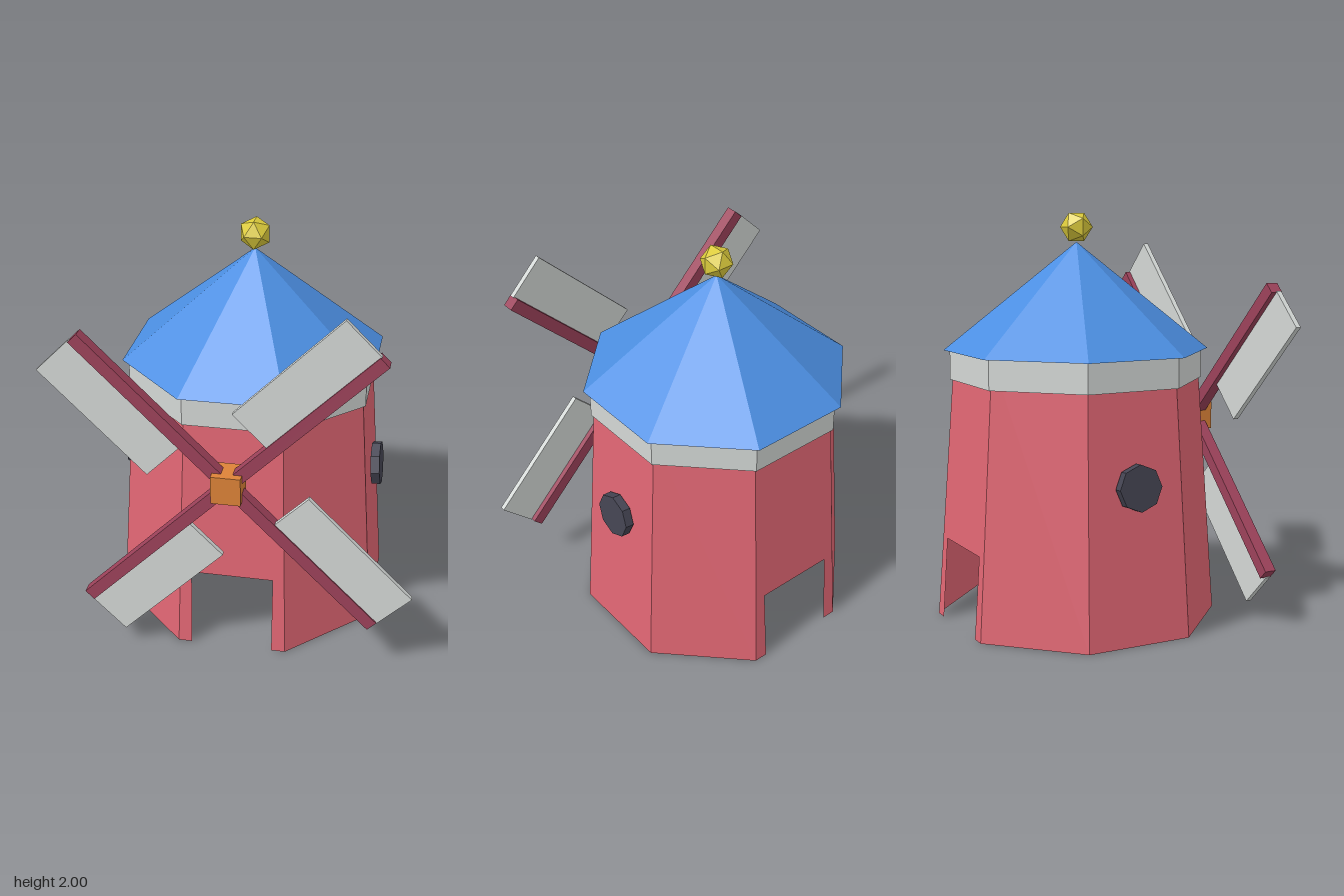
import * as THREE from 'three';

const mat = (name, color, extra = {}) => {
  const m = new THREE.MeshStandardMaterial({ color, flatShading: true, ...extra });
  m.name = name;
  return m;
};

export function createModel() {
  const both = { side: THREE.DoubleSide };
  const red = mat('wall red', 0xe06673, both);
  const grey = mat('pale grey', 0xd3d7d5, both);
  const blue = mat('roof blue', 0x4c8fe2);
  const maroon = mat('spar maroon', 0x9c425a);
  const orange = mat('hub orange', 0xdc8238);
  const yellow = mat('finial yellow', 0xdccb3c);
  const dark = mat('window dark', 0x444452);

  const model = new THREE.Group();
  model.name = 'windmill';
  const add = (parent, name, geo, material, x = 0, y = 0, z = 0) => {
    const mesh = new THREE.Mesh(geo, material);
    mesh.name = name;
    mesh.position.set(x, y, z);
    parent.add(mesh);
    return mesh;
  };

  const tower = new THREE.Group();
  tower.name = 'tower';
  tower.position.z = -0.053;
  model.add(tower);

  // Tapered octagonal walls; front and back panels have a doorway notch
  const baseR = 0.646, topR = 0.556, height = 1.335;
  const half = Math.tan(Math.PI / 8);
  const tilt = Math.atan((baseR - topR) / height);
  const slant = height / Math.cos(tilt);
  const doorW = 0.2, doorH = 0.4 / Math.cos(tilt);
  for (let i = 0; i < 8; i++) {
    const b = baseR * half, t = topR * half;
    const pts = [[b, 0], [t, slant], [-t, slant], [-b, 0]];
    if (i % 4 === 0) pts.push([-doorW, 0], [-doorW, doorH], [doorW, doorH], [doorW, 0]);
    const shape = new THREE.Shape(pts.map(([x, y]) => new THREE.Vector2(x, y)));
    const geo = new THREE.ShapeGeometry(shape);
    geo.rotateX(-tilt).translate(0, 0, baseR).rotateY(i * Math.PI / 4);
    add(tower, i % 4 === 0 ? 'doorWall' : 'wall', geo, red);
  }

  // Band under the eaves, roof and finial
  const corner = (apothem) => apothem / Math.cos(Math.PI / 8);
  const bandR = corner(0.577);
  add(tower, 'eavesBand',
    new THREE.CylinderGeometry(bandR, bandR, 0.145, 8, 1, true, Math.PI / 8), grey, 0, 1.2625);
  add(tower, 'roof',
    new THREE.ConeGeometry(corner(0.605), 0.525, 8, 1, false, Math.PI / 8), blue, 0, 1.5975);
  add(tower, 'finial', new THREE.IcosahedronGeometry(0.08), yellow, 0, 1.932)
    .rotation.y = Math.PI / 2;

  // Round side windows, leaning with the walls
  for (const s of [1, -1]) {
    add(tower, s > 0 ? 'leftWindow' : 'rightWindow',
      new THREE.CylinderGeometry(0.111, 0.111, 0.044, 8), dark, s * 0.627, 0.75)
      .rotation.z = s * (tilt - Math.PI / 2);
  }

  // Hub, shaft and four sails
  const rotor = new THREE.Group();
  rotor.name = 'rotor';
  rotor.position.set(0, 0.96, 0.633);
  model.add(rotor);
  add(rotor, 'hub', new THREE.BoxGeometry(0.14, 0.14, 0.14), orange, 0, 0, -0.003);
  add(rotor, 'shaft', new THREE.BoxGeometry(0.07, 0.07, 0.17), orange, 0, 0, -0.08);
  for (let i = 0; i < 4; i++) {
    const sail = new THREE.Group();
    sail.name = 'sail';
    sail.rotation.z = Math.PI / 4 + i * Math.PI / 2;
    rotor.add(sail);
    add(sail, 'spar', new THREE.BoxGeometry(0.95, 0.06, 0.06), maroon, 0.505);
    add(sail, 'blade', new THREE.BoxGeometry(0.7, 0.225, 0.026), grey, 0.635, 0.1375, 0.01);
  }
  return model;
}
